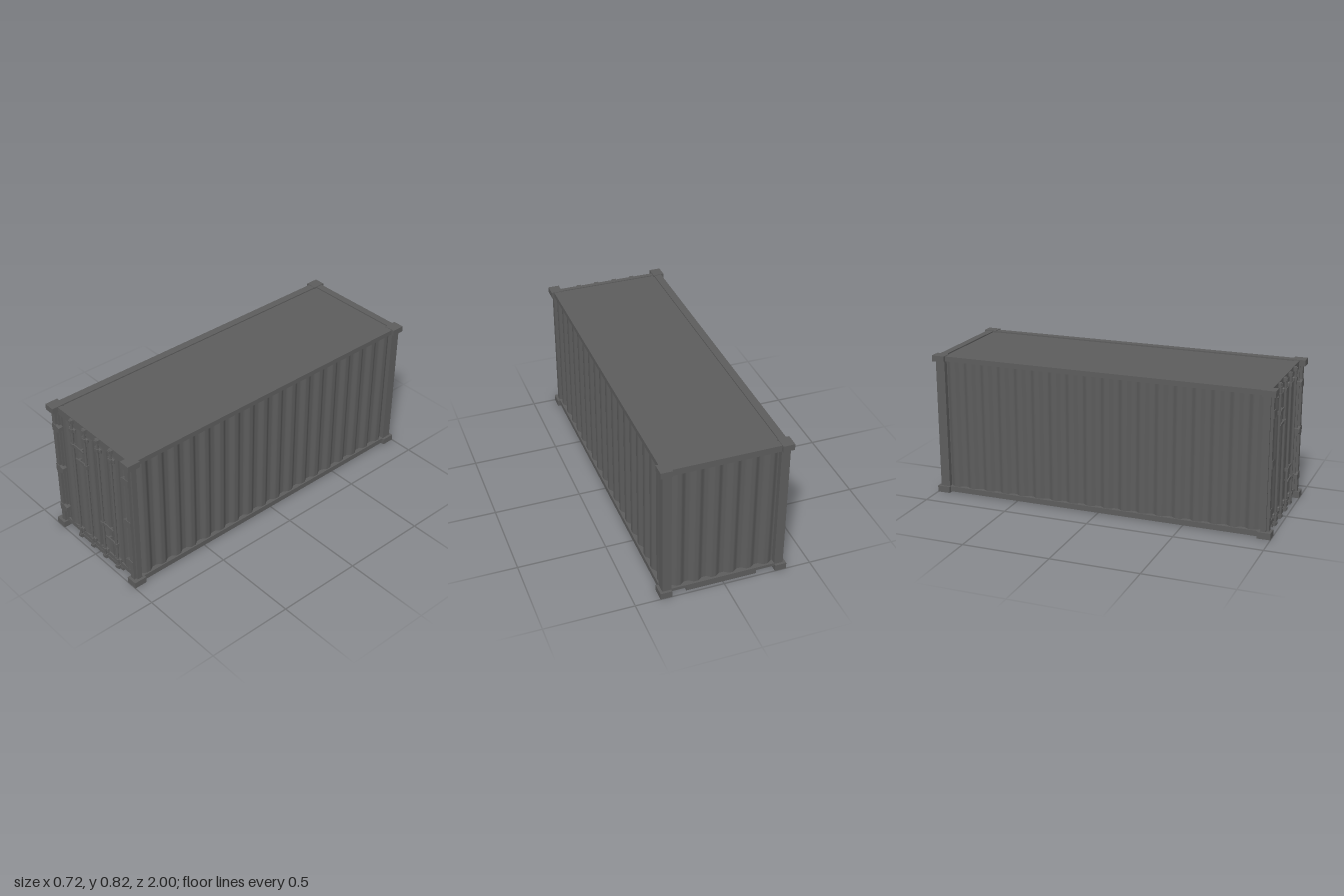
import * as THREE from 'three';
import { RoundedBoxGeometry } from 'three/addons/geometries/RoundedBoxGeometry.js';

const paint = new THREE.MeshStandardMaterial({ color: 0x5c5c5c });
const sheet = new THREE.MeshStandardMaterial({ color: 0x5c5c5c, side: THREE.DoubleSide });

export function createModel() {
  const model = new THREE.Group();
  model.name = 'shippingContainer';

  const add = (name, geometry, parent = model, material = paint) => {
    const mesh = new THREE.Mesh(geometry, material);
    mesh.name = name;
    parent.add(mesh);
    return mesh;
  };
  // Box given by its lower and upper limits on each axis
  const box = (name, x0, x1, y0, y1, z0, z1, parent = model) => {
    const mesh = add(name, new THREE.BoxGeometry(x1 - x0, y1 - y0, z1 - z0), parent);
    mesh.position.set((x0 + x1) / 2, (y0 + y1) / 2, (z0 + z1) / 2);
    return mesh;
  };
  // Upright sheet pressed into flat-topped waves, facing +z
  const corrugated = (name, width, y0, y1, waves, depth) => {
    const g = new THREE.PlaneGeometry(width, y1 - y0, waves * 16, 1);
    const p = g.attributes.position;
    for (let i = 0; i < p.count; i++) {
      const t = (p.getX(i) / width + 0.5) * waves * Math.PI * 2;
      const wave = THREE.MathUtils.clamp(-1.4 * Math.cos(t), -1, 1);
      p.setZ(i, (wave - 1) * depth / 2);
    }
    g.computeVertexNormals();
    const mesh = add(name, g, model, sheet);
    mesh.position.y = (y0 + y1) / 2;
    return mesh;
  };

  // Corner castings, posts and side rails
  for (const s of [-1, 1]) {
    const mirrorBox = (name, x0, x1, ...rest) =>
      s > 0 ? box(name, x0, x1, ...rest) : box(name, -x1, -x0, ...rest);
    for (const e of [-1, 1]) {
      const end = e > 0 ? [0.925, 1] : [-1, -0.925];
      mirrorBox('bottomCorner', 0.295, 0.36, 0, 0.037, ...end);
      mirrorBox('topCorner', 0.295, 0.36, 0.79, 0.825, ...end);
    }
    mirrorBox('frontPost', 0.297, 0.345, 0.037, 0.79, 0.94, 0.97);
    mirrorBox('frontPostRidge', 0.304, 0.333, 0.037, 0.79, 0.965, 0.985);
    mirrorBox('backPost', 0.295, 0.345, 0.037, 0.79, -0.985, -0.93);
    mirrorBox('topRail', 0.3, 0.344, 0.793, 0.822, -0.95, 0.95);
    mirrorBox('bottomRail', 0.3, 0.344, 0.006, 0.037, -0.95, 0.95);

    const wall = corrugated('sideWall', 1.88, 0.03, 0.8, 18, 0.018);
    wall.position.x = s * 0.336;
    wall.rotation.y = s * Math.PI / 2;
  }

  // Roof, floor and back end
  box('roof', -0.302, 0.302, 0.8, 0.815, -0.95, 0.945);
  box('floor', -0.302, 0.302, 0.018, 0.03, -0.95, 0.95);
  box('backHeader', -0.3, 0.3, 0.785, 0.822, -0.985, -0.943);
  box('backSill', -0.3, 0.3, 0.025, 0.042, -0.985, -0.94);
  box('backSillDrop', -0.19, 0.21, 0.004, 0.026, -0.985, -0.94);
  const back = corrugated('backWall', 0.6, 0.03, 0.8, 6, 0.018);
  back.position.z = -0.972;
  back.rotation.y = Math.PI;

  // Front frame and doors
  box('frontHeader', -0.3, 0.3, 0.775, 0.82, 0.938, 0.965);
  box('frontSill', -0.3, 0.3, 0.024, 0.052, 0.938, 0.965);
  box('frontSillDrop', -0.19, 0.21, 0.004, 0.026, 0.938, 0.968);
  corrugated('doorPanels', 0.6, 0.05, 0.777, 6, 0.008).position.z = 0.964;
  box('doorSeam', 0.002, 0.009, 0.052, 0.775, 0.955, 0.966);

  // Hinges: strap over the post tapering onto the door
  const leaf = new THREE.Shape();
  leaf.moveTo(0.333, -0.022);
  leaf.lineTo(0.297, -0.022);
  leaf.lineTo(0.272, -0.013);
  leaf.lineTo(0.272, 0.013);
  leaf.lineTo(0.297, 0.022);
  leaf.lineTo(0.333, 0.022);
  const leafGeometry = new THREE.ExtrudeGeometry(leaf, { depth: 0.014, bevelEnabled: false });
  for (const turned of [false, true]) {
    for (const y of [0.137, 0.413, 0.69]) {
      const hinge = add('hinge', leafGeometry);
      hinge.position.set(0, y, turned ? 0.989 : 0.975);
      if (turned) hinge.rotation.z = Math.PI;
      if (turned) hinge.position.z = 0.975;
      box('hingeBase', turned ? -0.297 : 0.274, turned ? -0.274 : 0.297,
        y - 0.012, y + 0.012, 0.955, 0.976);
    }
  }

  // Locking rods with guides, cams and tapered handles
  const rods = [
    { x: -0.165, handleY: 0.652, dir: 1 },
    { x: -0.052, handleY: 0.572, dir: -1 },
    { x: 0.062, handleY: 0.255, dir: 1 },
    { x: 0.176, handleY: 0.175, dir: -1 },
  ];
  const bar = new THREE.Shape();
  bar.moveTo(0, -0.009);
  bar.lineTo(0.03, -0.009);
  bar.lineTo(0.09, -0.006);
  bar.quadraticCurveTo(0.096, 0, 0.09, 0.006);
  bar.lineTo(0.03, 0.009);
  bar.lineTo(0, 0.009);
  const barGeometry = new THREE.ExtrudeGeometry(bar, { depth: 0.007, bevelEnabled: false });
  for (const { x, handleY, dir } of rods) {
    const lock = new THREE.Group();
    lock.name = 'lockingRod';
    lock.position.set(x, 0, 0.975);
    model.add(lock);

    add('rod', new THREE.CylinderGeometry(0.0075, 0.0075, 0.8, 16), lock).position.y = 0.412;
    for (const y of [0.067, 0.75]) {
      for (const s of [-1, 1]) {
        const pad = add('guidePad', new RoundedBoxGeometry(0.014, 0.026, 0.014, 2, 0.004), lock);
        pad.position.set(s * 0.018, y, -0.006);
      }
      box('guide', -0.013, 0.013, y - 0.01, y + 0.01, -0.012, 0.01, lock);
    }
    for (const y of [0.019, 0.805]) {
      box('camKeeper', -0.013, 0.013, y - 0.012, y + 0.012, -0.012, 0.005, lock);
      box('cam', -0.009, 0.009, y - 0.007, y + 0.009, 0, 0.011, lock);
    }

    box('handleClamp', -0.012, 0.012, handleY - 0.01, handleY + 0.01, -0.009, 0.01, lock);
    const handle = add('handle', barGeometry, lock);
    handle.position.set(0, handleY, dir > 0 ? -0.002 : 0.005);
    if (dir < 0) handle.rotation.y = Math.PI;
    const catchX = dir * 0.07;
    box('handleCatch', catchX - 0.006, catchX + 0.006, handleY - 0.005, handleY + 0.005, -0.02, 0, lock);
  }
  return model;
}
